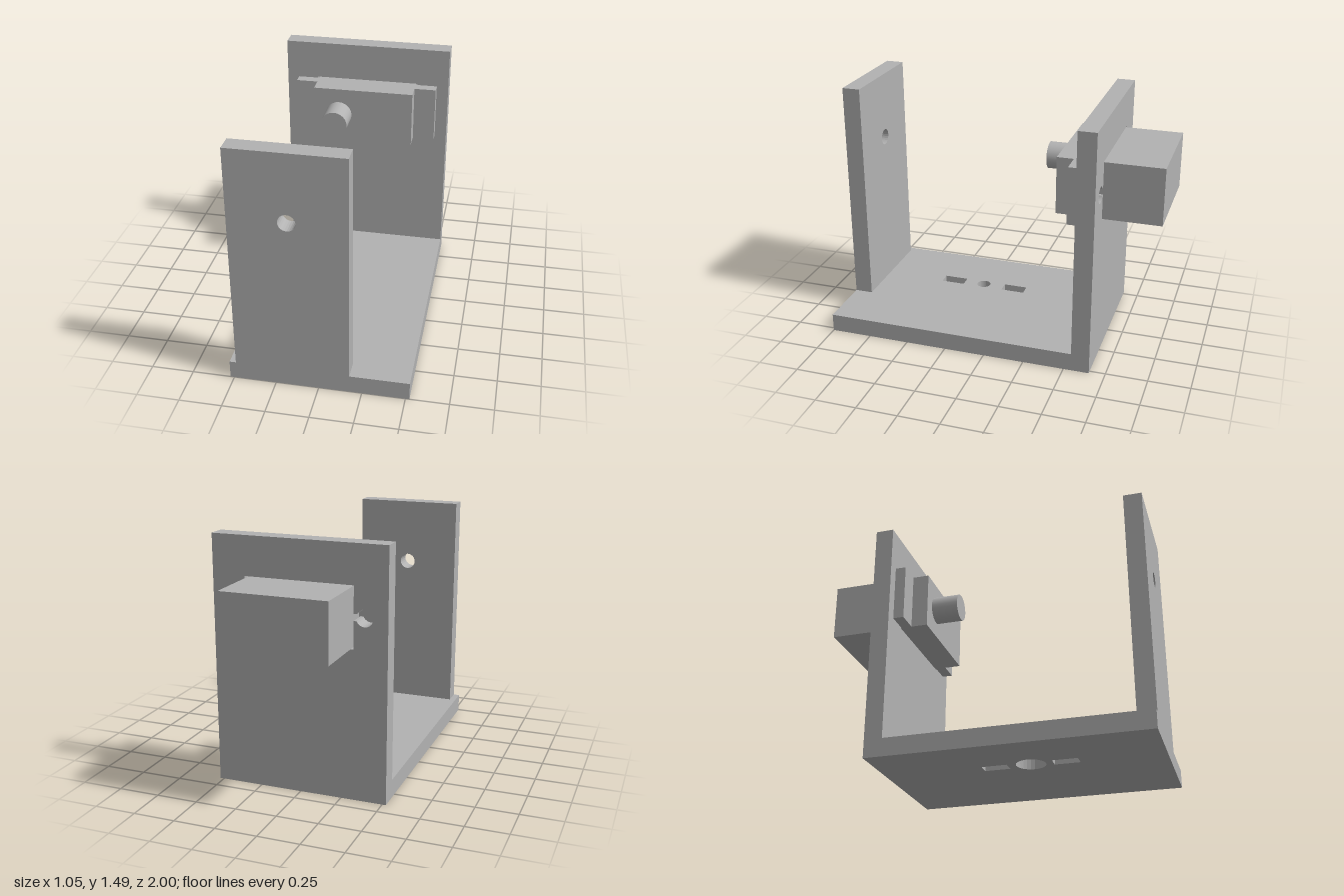
import * as THREE from 'three';

export function createModel() {
  const model = new THREE.Group();
  const grey = new THREE.MeshStandardMaterial({ color: 0xb2b2b2 });
  grey.name = 'plain grey';

  const add = (parent, name, geometry) => {
    const mesh = new THREE.Mesh(geometry, grey);
    mesh.name = name;
    parent.add(mesh);
    return mesh;
  };
  const box = (parent, name, x0, x1, y0, y1, z0, z1) => add(parent, name,
    new THREE.BoxGeometry(x1 - x0, y1 - y0, z1 - z0)
      .translate((x0 + x1) / 2, (y0 + y1) / 2, (z0 + z1) / 2));
  const fill = (path, x0, x1, y0, y1) => {
    path.moveTo(x0, y0);
    path.lineTo(x1, y0);
    path.lineTo(x1, y1);
    path.lineTo(x0, y1);
    path.closePath();
    return path;
  };
  const circle = (x, y, r) => new THREE.Path().absarc(x, y, r, 0, Math.PI * 2, false);
  const extrude = (shape, depth) =>
    new THREE.ExtrudeGeometry(shape, { depth, bevelEnabled: false, curveSegments: 12 });

  const W = 0.523, T = 0.11, H = 1.49, AXIS = 1.08, SHAFT_X = -0.155;

  // Base plate: two slots and a screw hole, counterbored from below
  const base = new THREE.Group();
  base.name = 'base';
  model.add(base);
  const baseLayer = (name, y0, y1, holeRadius) => {
    const shape = fill(new THREE.Shape(), -W, W, -1, 0.545); // shape y is -z
    shape.holes.push(
      fill(new THREE.Path(), -0.19, -0.115, -0.09, 0.06),
      fill(new THREE.Path(), -0.19, -0.115, -0.505, -0.355),
      circle(SHAFT_X, -0.225, holeRadius));
    add(base, name, extrude(shape, y1 - y0).rotateX(-Math.PI / 2).translate(0, y0, 0));
  };
  baseLayer('baseLower', 0, 0.06, 0.088);
  baseLayer('baseUpper', 0.06, T, 0.044);

  // Front upright with pivot hole
  const front = fill(new THREE.Shape(), -0.485, 0.178, T, H);
  front.holes.push(circle(SHAFT_X, AXIS, 0.05));
  add(model, 'frontUpright', extrude(front, T).translate(0, 0, 0.89));

  // Back upright with a motor cutout and keyhole screw notches
  const back = fill(new THREE.Shape(), -W, W, 0, H);
  const cut = new THREE.Path();
  const cx = 0.325, y0 = 0.898, y1 = 1.258, hx = 0.388, r = 0.05, n = 0.02;
  const a = Math.asin(n / r);
  cut.moveTo(-cx, y0);
  cut.lineTo(cx, y0);
  cut.lineTo(cx, AXIS - n);
  cut.absarc(hx, AXIS, r, Math.PI + a, 3 * Math.PI - a, false);
  cut.lineTo(cx, AXIS + n);
  cut.lineTo(cx, y1);
  cut.lineTo(-cx, y1);
  cut.lineTo(-cx, AXIS + n);
  cut.absarc(-hx, AXIS, r, a, 2 * Math.PI - a, false);
  cut.lineTo(-cx, AXIS - n);
  cut.closePath();
  back.holes.push(cut);
  add(model, 'backUpright', extrude(back, T).translate(0, 0, -0.655));

  // Motor: body, mounting ears and output shaft
  const motor = new THREE.Group();
  motor.name = 'motor';
  model.add(motor);
  box(motor, 'motorBody', -0.315, 0.315, 0.905, 1.25, -1, -0.38);
  box(motor, 'leftEar', 0.315, 0.45, 0.905, 1.25, -0.545, -0.48);
  box(motor, 'rightEar', -0.45, -0.315, 0.905, 1.25, -0.545, -0.48);
  add(motor, 'motorShaft', new THREE.CylinderGeometry(0.083, 0.083, 0.165, 24)
    .rotateX(Math.PI / 2).translate(SHAFT_X, AXIS, -0.2975));

  return model;
}
